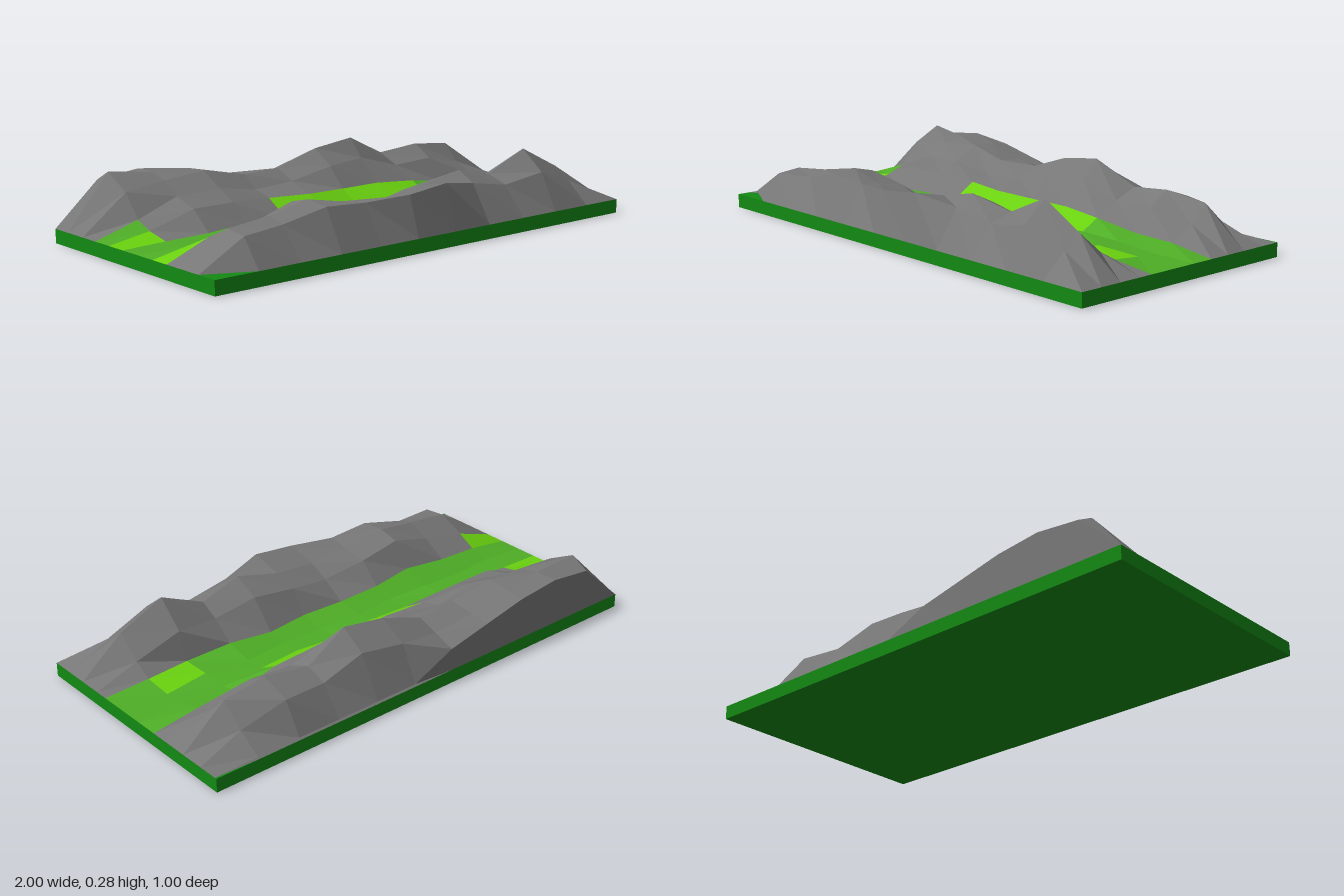
import * as THREE from 'three';

const GROUND = 0.055;
const COLUMNS = 12;

// Lines running along x: z position and the heights at the ten inner columns
const rows = [
  { z: -0.5, h: [] },
  { z: -0.492, h: [0.22, 0.24, 0.22, 0.18, 0.14, 0.06, 0.06, 0.06, 0.06, 0.06] },
  { z: -0.41, h: [0.26, 0.24, 0.23, 0.19, 0.17, 0.2, 0.22, 0.17, 0.18, 0.12] },
  { z: -0.31, h: [0.2, 0.22, 0.235, 0.2, 0.2, 0.26, 0.285, 0.2, 0.22, 0.2] },
  { z: -0.225, h: [0.11, 0.17, 0.18, 0.15, 0.16, 0.2, 0.21, 0.16, 0.17, 0.13] },
  { z: -0.135, h: [0.08, 0.14, 0.14, 0.13, 0.125, 0.12, 0.12, 0.11, 0.08, 0.08] },
  { z: -0.045, h: [0.06, 0.065, 0.07, 0.065, 0.075, 0.07, 0.07, 0.07, 0.065, 0.06] },
  { z: 0.045, h: [0.06, 0.06, 0.065, 0.06, 0.065, 0.06, 0.065, 0.065, 0.07, 0.06] },
  { z: 0.14, h: [0.08, 0.09, 0.1, 0.09, 0.08, 0.08, 0.08, 0.09, 0.07, 0.07] },
  { z: 0.225, h: [0.12, 0.15, 0.2, 0.17, 0.14, 0.17, 0.19, 0.16, 0.18, 0.11] },
  { z: 0.32, h: [0.17, 0.19, 0.22, 0.19, 0.18, 0.2, 0.24, 0.2, 0.28, 0.19] },
  { z: 0.41, h: [0.16, 0.17, 0.21, 0.2, 0.21, 0.23, 0.2, 0.17, 0.2, 0.14] },
  { z: 0.5, h: [] },
];

// Vertex of the terrain net, with the rim kept flat on the base
function point(i, j) {
  const row = rows[j];
  const inner = i > 0 && i < COLUMNS - 1 && row.h.length > 0;
  const x = -1 + (2 * i) / (COLUMNS - 1);
  let z = row.z;
  if (inner && j > 1) z += 0.012 * Math.sin(i * 2.3 + j * 1.7);
  if (j === 11 && (i === 5 || i === 6)) z = 0.45; // crest bulging towards the front
  if (j === 8 && i >= 9) z += 0.03; // valley widening at one end
  return [x, inner ? row.h[i - 1] : GROUND, z];
}

// Ground type of the cell between columns i, i+1 and rows j, j+1
function cellType(i, j) {
  if (i === 0 && (j === 5 || j === 8)) return 'lime';
  if (j === 5 && i >= 4 && i <= 7) return 'lime';
  if (j === 7 && i === 9) return 'lime';
  if (i === 0 && j === 4) return 'grass';
  if (j === 5 && i >= 1 && i <= 3) return 'rock';
  return j >= 5 && j <= 7 ? 'grass' : 'rock';
}

export function createModel() {
  const group = new THREE.Group();
  group.name = 'mountainValley';

  // Base slab
  const slab = new THREE.Mesh(
    new THREE.BoxGeometry(2, GROUND, 1),
    new THREE.MeshStandardMaterial({ color: 0x138a13, flatShading: true })
  );
  slab.position.y = GROUND / 2;
  slab.name = 'baseSlab';
  group.add(slab);

  // Sort the terrain facets by ground type
  const facets = { rock: [], grass: [], lime: [] };
  for (let j = 0; j < rows.length - 1; j++) {
    for (let i = 0; i < COLUMNS - 1; i++) {
      const a = point(i, j), b = point(i + 1, j);
      const c = point(i, j + 1), d = point(i + 1, j + 1);
      facets[cellType(i, j)].push(...a, ...c, ...d, ...a, ...d, ...b);
    }
  }

  // Mountains, valley floor and bright meadows
  const parts = [
    ['mountains', 'rock', 0x777777],
    ['valleyFloor', 'grass', 0x4fae26],
    ['meadows', 'lime', 0x6ad20f],
  ];
  for (const [name, type, color] of parts) {
    const geometry = new THREE.BufferGeometry();
    geometry.setAttribute('position', new THREE.Float32BufferAttribute(facets[type], 3));
    geometry.computeVertexNormals();
    const mesh = new THREE.Mesh(
      geometry,
      new THREE.MeshStandardMaterial({ color, flatShading: true, side: THREE.DoubleSide })
    );
    mesh.name = name;
    group.add(mesh);
  }
  return group;
}
